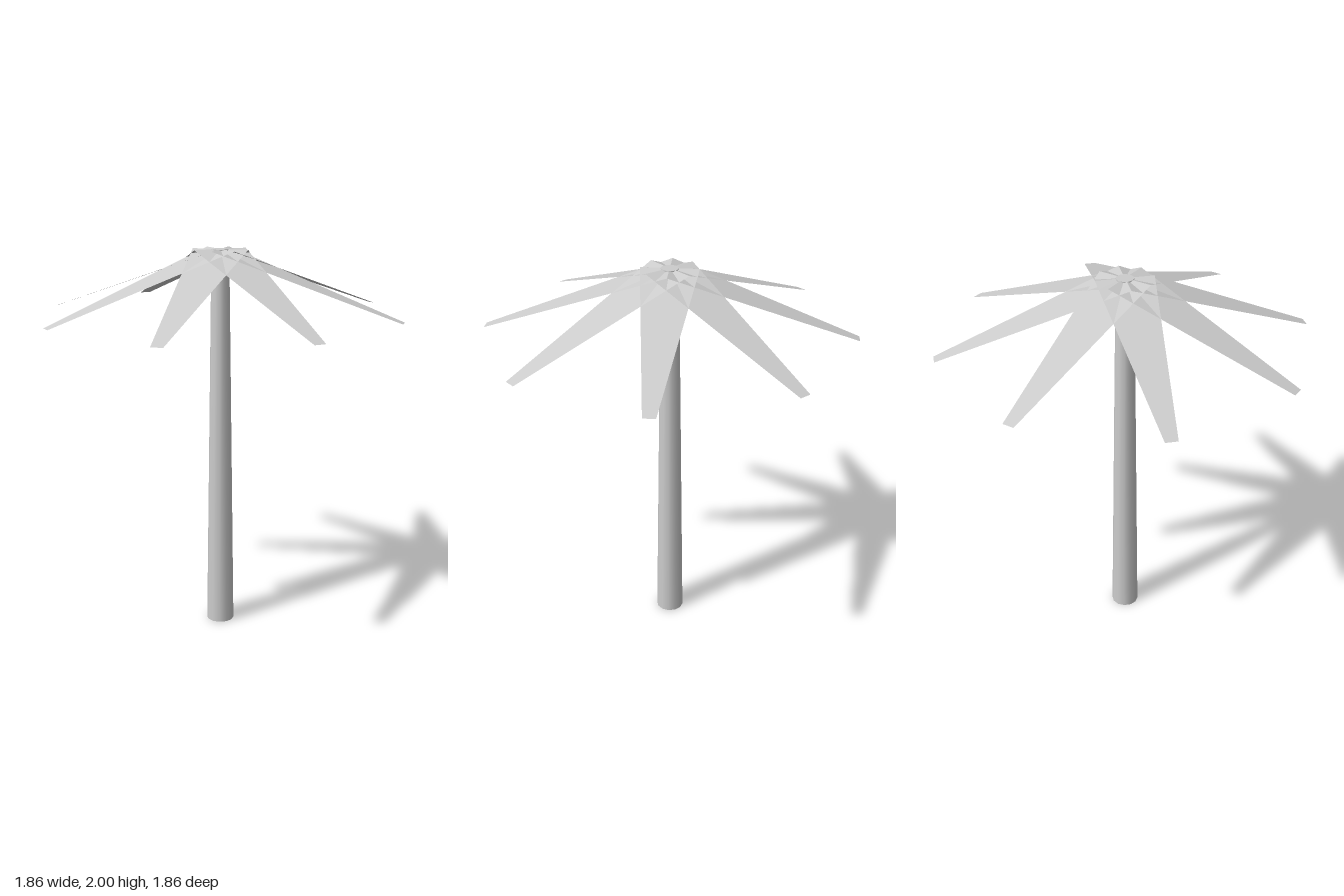
import * as THREE from 'three';

const HEIGHT = 2;
const LEAF_COUNT = 8;

// Flat tapering leaf: wide at the trunk axis, sloping down to a narrow tip along +z
function leafGeometry(rootHalf, tipHalf, reach, drop) {
  const geometry = new THREE.BufferGeometry();
  geometry.setAttribute('position', new THREE.Float32BufferAttribute([
    -rootHalf, 0, 0,
    -tipHalf, -drop, reach,
    tipHalf, -drop, reach,
    rootHalf, 0, 0,
  ], 3));
  geometry.setIndex([0, 1, 2, 0, 2, 3]);
  geometry.computeVertexNormals();
  return geometry;
}

export function createModel() {
  const model = new THREE.Group();
  model.name = 'palmTree';

  const paleGrey = new THREE.MeshStandardMaterial({ color: 0xcccccc, side: THREE.DoubleSide });
  paleGrey.name = 'pale grey';

  // Tapered trunk, open at the foot
  const trunk = new THREE.Mesh(
    new THREE.CylinderGeometry(0.045, 0.072, HEIGHT, 12, 1, true), paleGrey);
  trunk.name = 'trunk';
  trunk.position.y = HEIGHT / 2;
  model.add(trunk);

  // Flat cap closing the trunk above the crossing leaves
  const cap = new THREE.Mesh(new THREE.CircleGeometry(0.045, 12), paleGrey);
  cap.name = 'trunkTop';
  cap.rotation.x = -Math.PI / 2;
  cap.position.y = HEIGHT;
  model.add(cap);

  // Crown of leaves crossing one another at the top
  const crown = new THREE.Group();
  crown.name = 'crown';
  crown.position.y = HEIGHT;
  const geometry = leafGeometry(0.145, 0.03, 0.93, 0.33);
  for (let i = 0; i < LEAF_COUNT; i++) {
    const leaf = new THREE.Mesh(geometry, paleGrey);
    leaf.name = `leaf${i + 1}`;
    leaf.rotation.y = (i / LEAF_COUNT) * Math.PI * 2;
    crown.add(leaf);
  }
  model.add(crown);

  return model;
}
